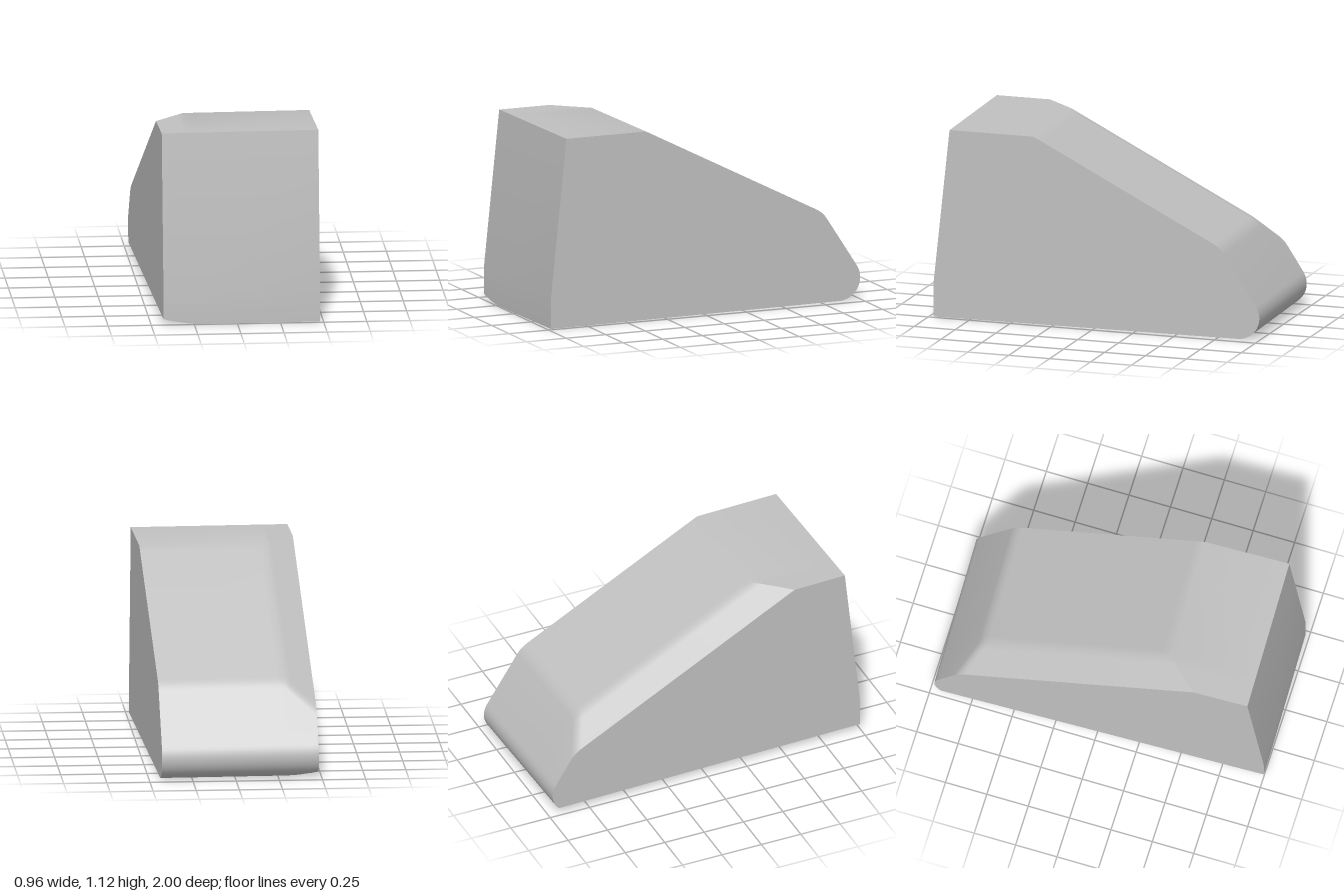
import * as THREE from 'three';
import { toCreasedNormals } from 'three/addons/utils/BufferGeometryUtils.js';

const HALF_WIDTH = 0.455;
const SLOPE = 0.512; // rise of the long ramp per unit of z
const BACK = 1.51;   // rise of the steep back face per unit of z

// Side outline as [z, y]: up the front, over the top, down the ramp, round the tail.
function outline(drop, lift) {
  const ridge = 0.382 + drop / SLOPE;
  const kneeZ = (-0.748 - drop) / 0.998;
  const kneeY = 0.2 + BACK * (kneeZ + 0.97);
  const pts = [[0.988, 0], [0.988, 0.19], [0.89, 1.115], [ridge, 1.113],
    [ridge - 0.06, 1.113 - 0.06 * SLOPE]];
  // softened knee between ramp and back face
  const a = [kneeZ + 0.04, kneeY + 0.04 * SLOPE];
  const b = [kneeZ - 0.025, kneeY - 0.025 * BACK];
  for (let i = 0; i <= 6; i++) {
    const t = i / 6, s = 1 - t;
    pts.push([s * s * a[0] + 2 * s * t * kneeZ + t * t * b[0],
      s * s * a[1] + 2 * s * t * kneeY + t * t * b[1]]);
  }
  // rounded tail
  for (let i = 0; i <= 14; i++) {
    const ang = THREE.MathUtils.lerp(Math.PI * 0.82, Math.PI * 1.5, i / 14);
    pts.push([-0.858 + 0.13 * Math.cos(ang), 0.13 + 0.13 * Math.sin(ang)]);
  }
  return pts.map(([z, y]) => [z, Math.max(y, lift)]);
}

function bodyGeometry() {
  const xs = [-HALF_WIDTH, -0.42, -0.385, -0.35, -0.315, -0.28, -0.24, -0.2, HALF_WIDTH];
  const pos = [], idx = [];
  let n = 0;
  for (const x of xs) {
    // the ramp is bevelled and the underside curls up towards the -x side
    const drop = 0.095 * Math.max(0, (-0.28 - x) / 0.175);
    const lift = 0.035 * Math.max(0, (-0.2 - x) / 0.255) ** 2;
    const ring = outline(drop, lift);
    n = ring.length;
    for (const [z, y] of ring) pos.push(x, y, z);
  }
  const last = (xs.length - 1) * n;
  for (let i = 0; i < xs.length - 1; i++) {
    for (let j = 0; j < n; j++) {
      const a = i * n + j, b = i * n + (j + 1) % n;
      idx.push(a, a + n, b + n, a, b + n, b);
    }
  }
  // flat side walls
  for (let j = 1; j < n - 1; j++) {
    idx.push(0, j, j + 1, last, last + j + 1, last + j);
  }
  const geo = new THREE.BufferGeometry();
  geo.setAttribute('position', new THREE.Float32BufferAttribute(pos, 3));
  geo.setIndex(idx);
  return toCreasedNormals(geo, 0.56);
}

export function createModel() {
  const grey = new THREE.MeshStandardMaterial({ color: 0xc0c0c0 });
  grey.name = 'light grey';
  const body = new THREE.Mesh(bodyGeometry(), grey);
  body.name = 'wedgeBody';
  body.rotation.y = 0.026; // sits slightly turned
  const group = new THREE.Group();
  group.name = 'wedgeBlock';
  group.add(body);
  return group;
}
